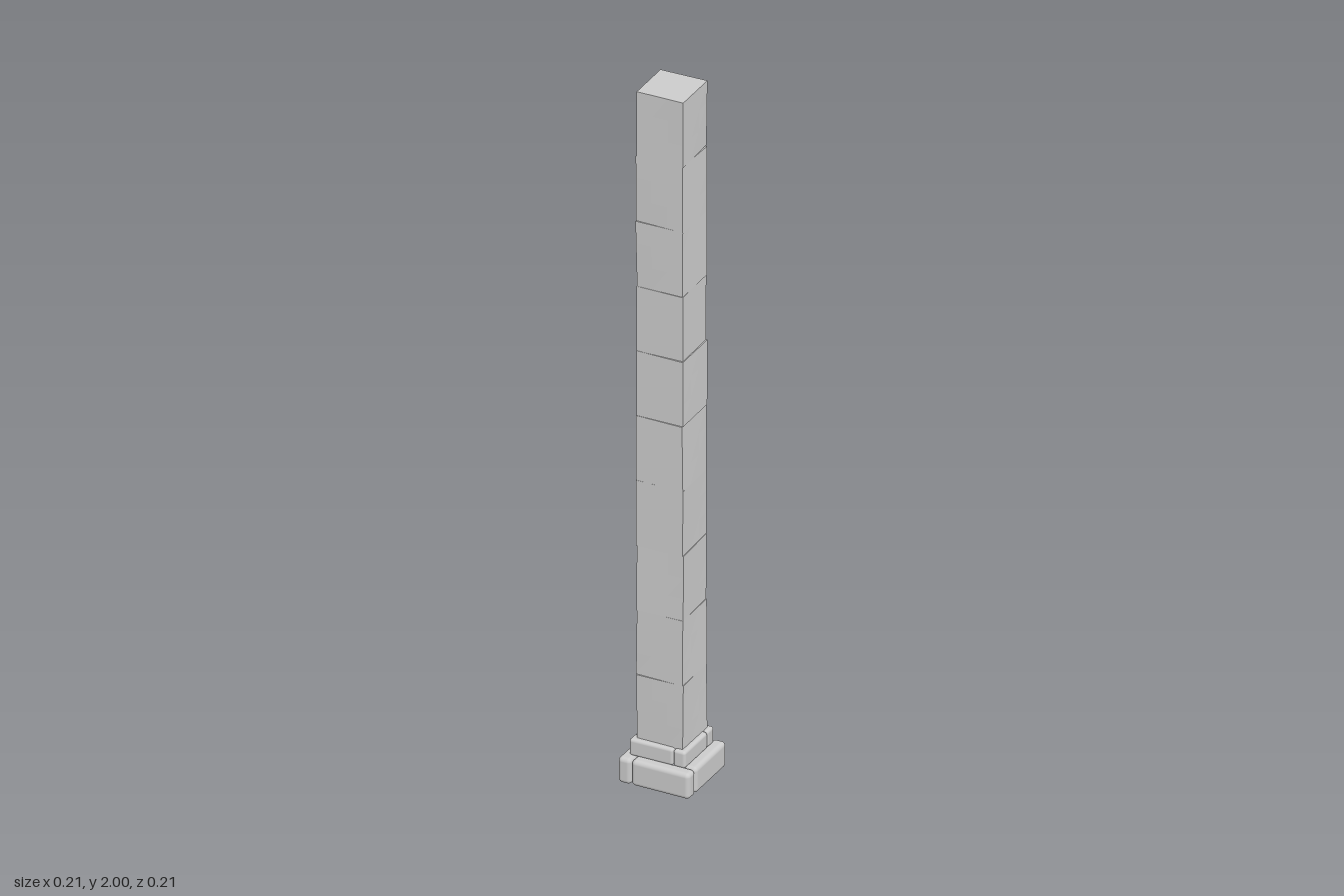
import * as THREE from 'three';
import { RoundedBoxGeometry } from 'three/addons/geometries/RoundedBoxGeometry.js';

const stone = new THREE.MeshStandardMaterial({ color: 0xcccccc });
const cutStone = new THREE.MeshStandardMaterial({ color: 0xcccccc, flatShading: true });

// Small seeded generator, returns values in -1..1
let seed = 7;
function jitter() {
  seed = (seed * 16807) % 2147483647;
  return (seed / 2147483647) * 2 - 1;
}

// Square ring of four rounded stones laid in a pinwheel; turn sets which end owns the corner
function stoneCourse(name, y0, height, side, width, turn, radius) {
  const course = new THREE.Group();
  course.name = name;
  for (let i = 0; i < 4; i++) {
    const arm = new THREE.Group();
    arm.rotation.y = (i * Math.PI) / 2;
    const beam = new THREE.Mesh(
      new RoundedBoxGeometry(side - width, height, width, 4, radius), stone);
    beam.name = name + 'Stone';
    beam.position.set((turn * width) / 2, y0 + height / 2, (side - width) / 2);
    beam.rotation.y = jitter() * 0.008;
    arm.add(beam);
    course.add(arm);
  }
  return course;
}

// Roughly cut block: slightly displaced corners blended across the faces
function shaftBlock(size, height) {
  const geo = new THREE.BoxGeometry(size, height, size, 3, 3, 3);
  const corners = Array.from({ length: 8 }, () =>
    new THREE.Vector3(jitter() * 0.0018, jitter() * 0.0015, jitter() * 0.0018));
  const pos = geo.attributes.position;
  const p = new THREE.Vector3();
  for (let i = 0; i < pos.count; i++) {
    p.fromBufferAttribute(pos, i);
    const u = p.x / size + 0.5, v = p.y / height + 0.5, w = p.z / size + 0.5;
    corners.forEach((c, k) => {
      const weight = (k & 1 ? u : 1 - u) * (k & 2 ? v : 1 - v) * (k & 4 ? w : 1 - w);
      p.addScaledVector(c, weight);
    });
    pos.setXYZ(i, p.x, p.y, p.z);
  }
  geo.computeVertexNormals();
  return new THREE.Mesh(geo, cutStone);
}

export function createModel() {
  seed = 7;
  const model = new THREE.Group();
  model.name = 'stonePillar';

  // Stepped hollow base
  const lower = stoneCourse('lowerBase', 0.003, 0.074, 0.206, 0.038, 1, 0.012);
  lower.rotation.y = -0.045;
  model.add(lower);
  const upper = stoneCourse('upperBase', 0.074, 0.048, 0.161, 0.035, -1, 0.008);
  upper.rotation.y = -0.04;
  upper.position.set(-0.004, 0, -0.005);
  model.add(upper);

  // Shaft of stacked blocks
  const shaft = new THREE.Group();
  shaft.name = 'shaft';
  const count = 10, bottom = 0.118, pitch = (2 - bottom) / count;
  for (let i = 0; i < count; i++) {
    const block = shaftBlock(0.133, pitch);
    block.name = 'shaftBlock';
    block.position.set(-0.004 + jitter() * 0.001, bottom + (i + 0.5) * pitch, -0.004 + jitter() * 0.001);
    block.rotation.y = -0.03 + jitter() * 0.015;
    shaft.add(block);
  }
  model.add(shaft);
  return model;
}
